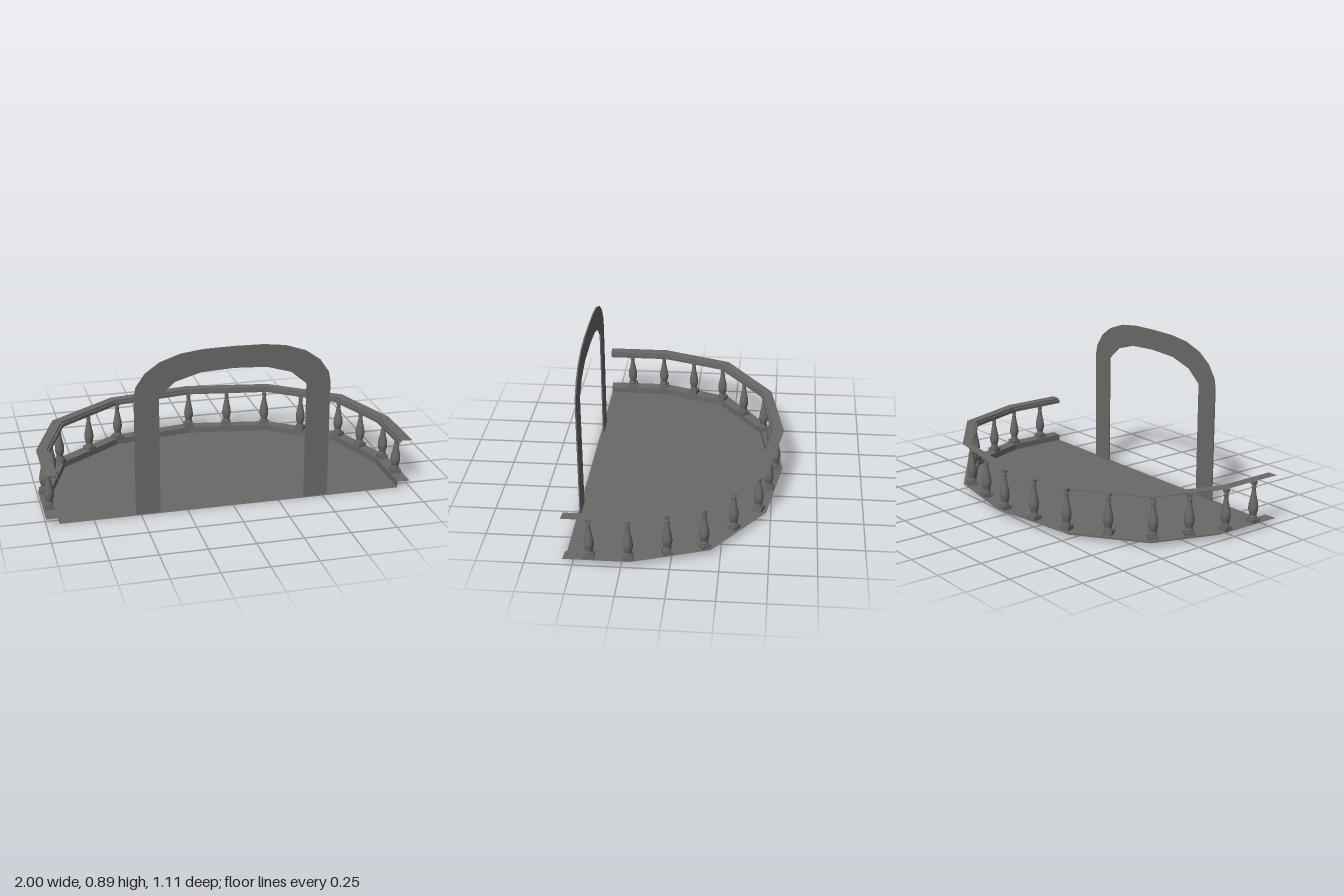
import * as THREE from 'three';

// Half plan of the terrace edge as [x, z], from the open front to the middle of the back
const INNER = [[0.93, 0.545], [0.93, 0.2], [0.805, -0.16], [0.457, -0.418], [0, -0.49]];
const OUTER = [[1, 0.55], [1, 0.2], [0.86, -0.2], [0.48, -0.475], [0, -0.557]];

const mirrorPath = half => [...half, ...half.slice(0, -1).reverse().map(([x, z]) => [-x, z])];
const inner = mirrorPath(INNER);
const outer = mirrorPath(OUTER);

// Sweeps a profile of [t, y] along the edge; t runs from 0 (inner line) to 1 (outer line)
function sweep(profile) {
  const pos = [];
  const point = (i, [t, y]) => [
    THREE.MathUtils.lerp(inner[i][0], outer[i][0], t), y,
    THREE.MathUtils.lerp(inner[i][1], outer[i][1], t)];
  for (let i = 0; i < inner.length - 1; i++) {
    for (let j = 0; j < profile.length - 1; j++) {
      const a = point(i, profile[j]), b = point(i + 1, profile[j]);
      const c = point(i, profile[j + 1]), d = point(i + 1, profile[j + 1]);
      pos.push(...a, ...c, ...b, ...b, ...c, ...d);
    }
  }
  const g = new THREE.BufferGeometry();
  g.setAttribute('position', new THREE.Float32BufferAttribute(pos, 3));
  g.computeVertexNormals();
  return g;
}

export function createModel() {
  const model = new THREE.Group();
  model.name = 'balustradeTerrace';
  const stone = new THREE.MeshStandardMaterial({ color: 0x6a6967, side: THREE.DoubleSide });
  stone.name = 'grey stone';

  const add = (name, geometry, parent = model) => {
    const mesh = new THREE.Mesh(geometry, stone);
    mesh.name = name;
    parent.add(mesh);
    return mesh;
  };

  // Floor sheet, with an open-backed kerb and handrail round its edge
  const floorShape = new THREE.Shape(inner.map(([x, z]) => new THREE.Vector2(x, -z)));
  add('floor', new THREE.ShapeGeometry(floorShape).rotateX(-Math.PI / 2));
  add('kerb', sweep([[0, 0], [0, 0.035], [1, 0.035]]));
  add('handrail', sweep([[0, 0.248], [0, 0.267], [0.16, 0.267], [0.16, 0.277], [1, 0.277]]));

  // Balusters: square plinth, turned vase body and square cap
  const plinth = new THREE.BoxGeometry(0.053, 0.026, 0.053).translate(0, 0.044, 0);
  const cap = new THREE.BoxGeometry(0.026, 0.018, 0.026).translate(0, 0.253, 0);
  const body = new THREE.LatheGeometry([
    [0.021, 0.057], [0.023, 0.063], [0.021, 0.069], [0.017, 0.073], [0.021, 0.085],
    [0.026, 0.105], [0.0265, 0.12], [0.024, 0.142], [0.018, 0.17], [0.013, 0.198],
    [0.01, 0.222], [0.0135, 0.228], [0.0135, 0.233], [0.009, 0.237], [0.01, 0.245],
  ].map(([r, y]) => new THREE.Vector2(r, y)), 16);

  // Each row: x, z and turn in degrees, following the edge
  const spots = [
    [0.965, 0.415, 0], [0.965, 0.215, 0], [0.9, 0.02, 20], [0.83, -0.165, 30],
    [0.64, -0.307, 54], [0.45, -0.433, 70], [0.228, -0.482, 81], [0, -0.515, 90],
  ];
  for (const [x, z, turn] of spots) {
    for (const side of x ? [1, -1] : [1]) {
      const baluster = new THREE.Group();
      baluster.name = 'baluster';
      add('balusterPlinth', plinth, baluster);
      add('balusterBody', body, baluster);
      add('balusterCap', cap, baluster);
      baluster.position.set(side * x, 0, z);
      baluster.rotation.y = side * THREE.MathUtils.degToRad(turn);
      model.add(baluster);
    }
  }

  // Thin flat entrance arch standing at the front edge
  const outside = [[0.526, 0], [0.526, 0.655], [0.515, 0.71], [0.467, 0.78], [0.39, 0.835],
    [0.28, 0.873], [0.16, 0.888], [0, 0.891]];
  const inside = [[0.395, 0], [0.395, 0.652], [0.31, 0.725], [0.175, 0.765], [0, 0.774]];
  const outline = [...mirrorPath(outside), ...mirrorPath(inside).reverse()];
  const archShape = new THREE.Shape(outline.map(([x, y]) => new THREE.Vector2(x, y)));
  add('entranceArch', new THREE.ExtrudeGeometry(archShape, { depth: 0.007, bevelEnabled: false }))
    .position.z = 0.527;

  return model;
}
